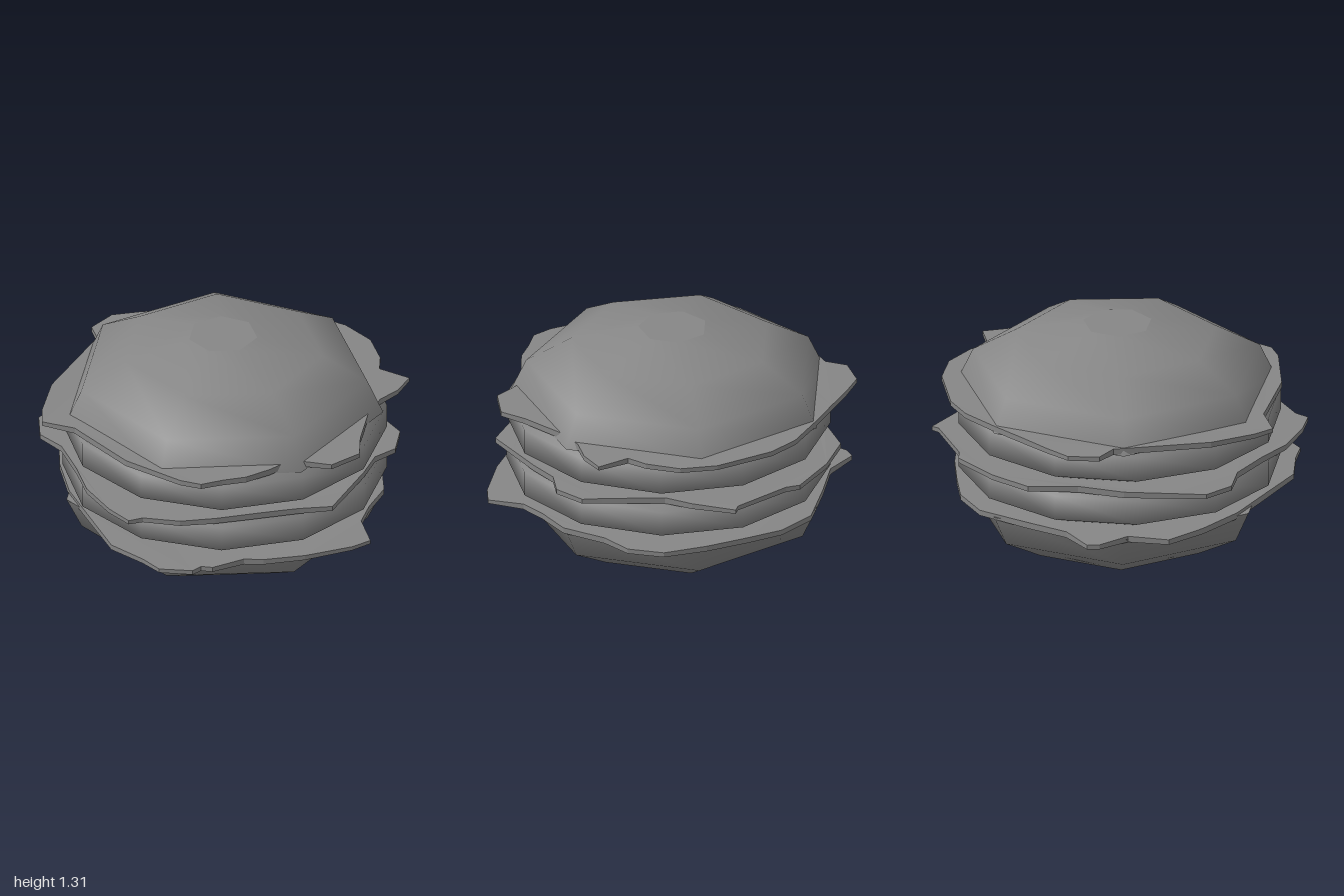
import * as THREE from 'three';

const material = new THREE.MeshStandardMaterial({ color: 0x868686 });

function addMesh(parent, name, geometry) {
  const mesh = new THREE.Mesh(geometry, material);
  mesh.name = name;
  parent.add(mesh);
  return mesh;
}

// Revolved surface from [radius, y] pairs listed bottom to top
function lathe(points, sides) {
  return new THREE.LatheGeometry(points.map(([r, y]) => new THREE.Vector2(r, y)), sides);
}

// Seven-sided bun half: smooth dome with flat ends
function bun(name, profile) {
  const group = new THREE.Group();
  group.name = name;
  const [rLow, yLow] = profile[0];
  const [rHigh, yHigh] = profile[profile.length - 1];
  addMesh(group, name + 'Dome', lathe(profile, 7));
  addMesh(group, name + 'Underside', lathe([[0, yLow], [rLow, yLow]], 7));
  addMesh(group, name + 'Top', lathe([[rHigh, yHigh], [0, yHigh]], 7));
  group.position.set(0.02, 0, -0.006);
  return group;
}

// Twelve-sided patty with bevelled rims, its ends buried in the leaves
function patty(parent, name, y) {
  const profile = [[0.75, -0.13], [0.882, -0.07], [0.882, 0.07], [0.75, 0.13]];
  addMesh(parent, name, lathe(profile, 12)).position.set(0.018, y, 0.018);
}

// Thin ragged leaf from an [x, z] outline, centred on height y
function leaf(parent, name, outline, y) {
  const shape = new THREE.Shape(outline.map(([x, z]) => new THREE.Vector2(x, -z)));
  const geometry = new THREE.ExtrudeGeometry(shape, { depth: 0.036, bevelEnabled: false });
  geometry.translate(0, 0, -0.018).rotateX(-Math.PI / 2);
  // Thin the leaf towards its outermost tips
  const p = geometry.attributes.position;
  for (let i = 0; i < p.count; i++) {
    const reach = Math.max(0, Math.hypot(p.getX(i), p.getZ(i)) - 0.85);
    p.setY(i, p.getY(i) * (1 - 2 * reach));
  }
  geometry.computeVertexNormals();
  addMesh(parent, name, geometry).position.y = y;
}

export function createModel() {
  const model = new THREE.Group();
  model.name = 'burger';

  // Bun halves share one profile, mirrored about mid height
  const lower = [[0.19, 0], [0.552, 0.08], [0.8, 0.222], [0.885, 0.405]];
  const upper = lower.map(([r, y]) => [r, 1.308 - y]).reverse();
  model.add(bun('bottomBun', lower), bun('topBun', upper));

  // Patties
  patty(model, 'lowerPatty', 0.555);
  patty(model, 'upperPatty', 0.812);

  // Lettuce leaves, each with its own ragged outline
  const lowLeaf = [
    [0.39, 0.985], [0.27, 0.995], [0, 0.955], [-0.22, 0.885], [-0.31, 0.83], [-0.5, 0.82],
    [-0.55, 0.78], [-0.61, 0.795], [-0.76, 0.69], [-0.79, 0.56], [-0.87, 0.35], [-0.83, 0],
    [-0.8, -0.25], [-0.71, -0.52], [-0.6, -0.73], [-0.38, -0.78], [-0.28, -0.94],
    [-0.22, -0.97], [-0.05, -0.86], [0.2, -0.83], [0.5, -0.78], [0.68, -0.63],
    [0.78, -0.45], [0.89, -0.23], [0.975, 0], [0.94, 0.2], [0.82, 0.33], [0.71, 0.56],
    [0.55, 0.68], [0.44, 0.79],
  ];
  const midLeaf = [
    [0.17, 0.955], [0, 0.89], [-0.1, 0.86], [-0.24, 0.82], [-0.45, 0.76], [-0.63, 0.69],
    [-0.79, 0.56], [-0.87, 0.545], [-0.905, 0.39], [-0.912, 0.15], [-0.86, -0.06],
    [-0.82, -0.3], [-0.86, -0.47], [-0.78, -0.63], [-0.6, -0.7], [-0.36, -0.79],
    [-0.1, -0.82], [0.15, -0.925], [0.39, -0.86], [0.65, -0.725], [0.68, -0.65],
    [0.91, -0.4], [0.955, -0.39], [0.9, -0.15], [0.84, 0], [0.86, 0.34], [0.87, 0.45],
    [0.76, 0.595], [0.62, 0.62], [0.49, 0.73], [0.32, 0.85],
  ];
  const topLeaf = [
    [0.36, 0.915], [0.17, 0.945], [0, 0.8], [-0.15, 0.83], [-0.3, 0.835], [-0.43, 0.8],
    [-0.55, 0.78], [-0.63, 0.69], [-0.79, 0.37], [-0.86, 0], [-0.87, -0.06],
    [-0.99, -0.21], [-0.93, -0.32], [-0.76, -0.52], [-0.36, -0.79], [-0.31, -0.82],
    [-0.28, -0.94], [-0.12, -1], [0.03, -0.95], [0.2, -0.88], [0.4, -0.8], [0.62, -0.7],
    [0.76, -0.58], [0.94, -0.29], [0.985, -0.09], [0.94, 0.1], [0.88, 0.2], [0.98, 0.355],
    [0.86, 0.44], [0.73, 0.48], [0.6, 0.58], [0.44, 0.78],
  ];
  leaf(model, 'lowerLettuce', lowLeaf, 0.405);
  leaf(model, 'middleLettuce', midLeaf, 0.668);
  leaf(model, 'upperLettuce', topLeaf, 0.928);

  return model;
}
